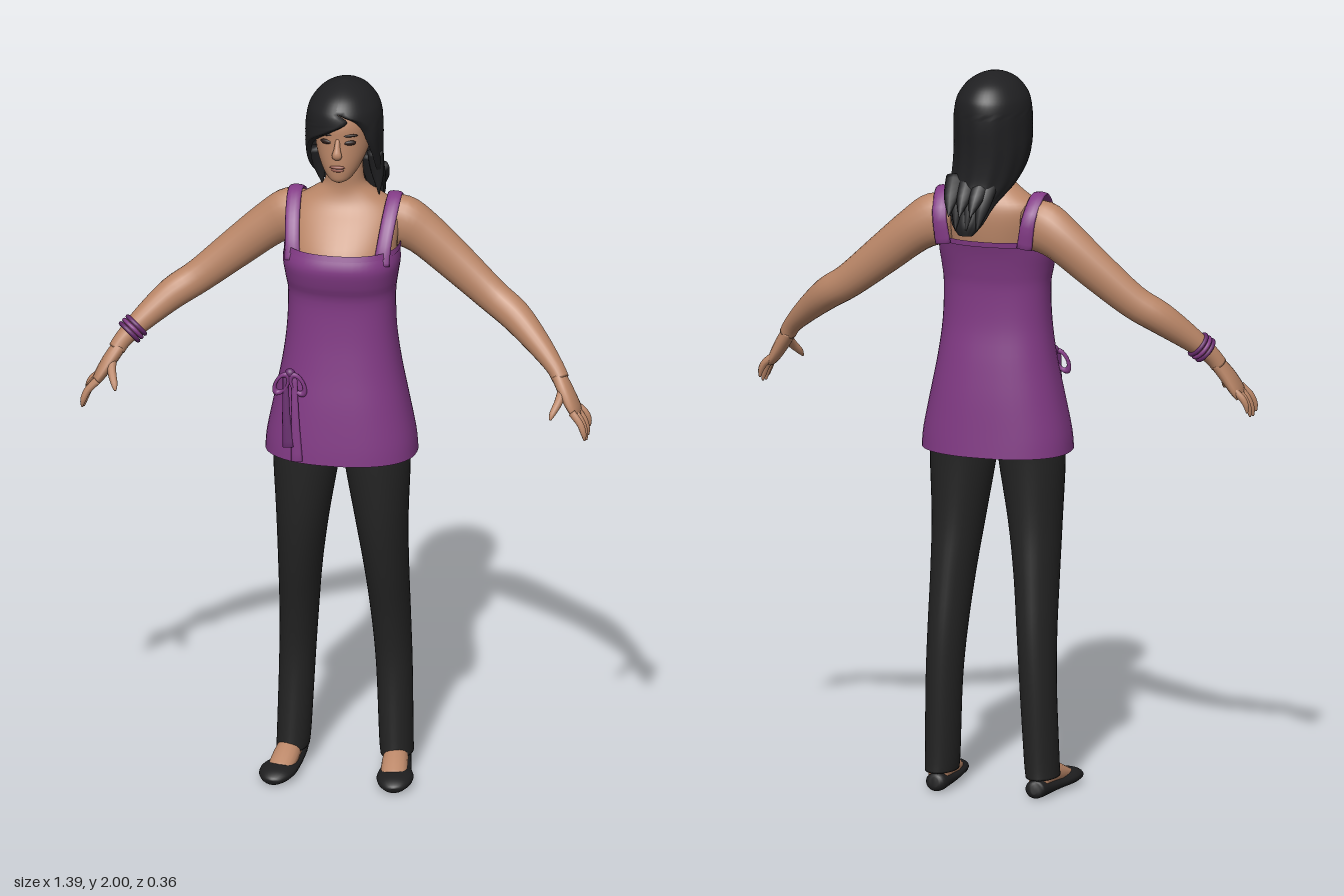
import * as THREE from 'three';

const mat = (name, color, side = THREE.FrontSide) => {
  const m = new THREE.MeshStandardMaterial({ color, side });
  m.name = name;
  return m;
};

// Catmull-Rom interpolation of every column of a small table
function smooth(rows, n = 4) {
  const out = [], at = i => rows[Math.max(0, Math.min(rows.length - 1, i))];
  for (let i = 0; i < rows.length - 1; i++) {
    for (let k = 0; k < n; k++) {
      const t = k / n, [a, b, c, d] = [at(i - 1), at(i), at(i + 1), at(i + 2)];
      out.push(b.map((v, j) => v + 0.5 * t * (c[j] - a[j] + t * (2 * a[j] - 5 * v + 4 * c[j] - d[j]
        + t * (3 * (v - c[j]) + d[j] - a[j])))));
    }
  }
  out.push(at(rows.length - 1));
  return out;
}

// Skin a list of rings; rings may be closed loops, ends may be capped
function skin(rings, closed = true, caps = true) {
  const n = rings[0].length, pos = [], idx = [];
  rings.forEach(r => r.forEach(p => pos.push(p.x, p.y, p.z)));
  const cols = closed ? n : n - 1;
  for (let i = 0; i < rings.length - 1; i++) {
    for (let j = 0; j < cols; j++) {
      const a = i * n + j, b = i * n + (j + 1) % n;
      idx.push(a, b, b + n, a, b + n, a + n);
    }
  }
  if (caps) [0, rings.length - 1].forEach((r, end) => {
    const c = rings[r].reduce((s, p) => s.add(p), new THREE.Vector3()).divideScalar(n);
    const ci = pos.length / 3;
    pos.push(c.x, c.y, c.z);
    for (let j = 0; j < n; j++) {
      const a = r * n + j, b = r * n + (j + 1) % n;
      if (end) idx.push(a, b, ci); else idx.push(b, a, ci);
    }
  });
  const g = new THREE.BufferGeometry();
  g.setAttribute('position', new THREE.Float32BufferAttribute(pos, 3));
  g.setIndex(idx);
  g.computeVertexNormals();
  return g;
}

const pw = (v, p) => Math.sign(v) * Math.abs(v) ** p;

// Upright loft, rows from low to high: [y, centre x, half width, front z, back z]
function loft(rows, { p = 1, seg = 36, caps = true } = {}) {
  return skin(smooth(rows).map(([y, cx, rx, zf, zb]) => Array.from({ length: seg }, (_, j) => {
    const a = j / seg * Math.PI * 2;
    return new THREE.Vector3(cx + rx * pw(Math.sin(a), p), y, (zf + zb) / 2 + (zf - zb) / 2 * pw(Math.cos(a), p));
  })), true, caps);
}

// Limb along a path: [x, y, z, radius towards ref, radius across]
function limb(rows, ref = [0, 0, 1], seg = 16, n = 4) {
  const pts = smooth(rows, n), v = r => new THREE.Vector3(r[0], r[1], r[2]);
  return skin(pts.map((r, i) => {
    const t = v(pts[Math.min(i + 1, pts.length - 1)]).sub(v(pts[Math.max(i - 1, 0)])).normalize();
    const N = new THREE.Vector3(...ref).addScaledVector(t, -t.dot(new THREE.Vector3(...ref))).normalize();
    const B = t.clone().cross(N);
    return Array.from({ length: seg }, (_, j) => {
      const a = j / seg * Math.PI * 2;
      return v(r).addScaledVector(N, r[3] * Math.cos(a)).addScaledVector(B, r[4] * Math.sin(a));
    });
  }));
}

export function createModel() {
  const model = new THREE.Group();
  const flesh = mat('skin', 0xbb8768), purple = mat('purple cloth', 0x823a85, THREE.DoubleSide);
  const trim = mat('dark purple trim', 0x642a6a), black = mat('black cloth', 0x242424);
  const hairMat = mat('black hair', 0x202022, THREE.DoubleSide), shoeMat = mat('shoe black', 0x1e1e1f);
  const lipMat = mat('lip', 0x965a4c), eyeMat = mat('dark eye', 0x2a1c18);
  const add = (name, geo, m) => {
    const mesh = new THREE.Mesh(geo, m);
    mesh.name = name;
    model.add(mesh);
    return mesh;
  };
  const blob = (name, m, [x, y, z], [sx, sy, sz]) => {
    const b = add(name, new THREE.SphereGeometry(1, 16, 12), m);
    b.position.set(x, y, z);
    b.scale.set(sx, sy, sz);
    return b;
  };

  // Chest, shoulders and neck
  add('upperBody', loft([
    [1.42, 0, 0.13, 0.11, -0.07], [1.50, 0, 0.148, 0.14, -0.09], [1.54, 0, 0.148, 0.132, -0.10],
    [1.60, 0, 0.15, 0.085, -0.105], [1.64, 0, 0.137, 0.05, -0.10], [1.67, 0, 0.095, 0.035, -0.085],
    [1.70, 0, 0.058, 0.03, -0.065], [1.74, 0, 0.05, 0.032, -0.06], [1.79, 0, 0.05, 0.03, -0.06]]), flesh);

  // Head and face
  add('head', loft([
    [1.736, 0, 0.012, 0.088, 0.06], [1.745, 0, 0.03, 0.098, 0.03], [1.765, 0, 0.047, 0.102, -0.01],
    [1.79, 0, 0.06, 0.103, -0.04], [1.82, 0, 0.071, 0.102, -0.07], [1.86, 0, 0.077, 0.1, -0.09],
    [1.90, 0, 0.078, 0.099, -0.1], [1.94, 0, 0.068, 0.08, -0.09], [1.97, 0, 0.03, 0.03, -0.05]]), flesh);
  add('nose', limb([[0, 1.865, 0.095, 0.006, 0.006], [0, 1.84, 0.104, 0.009, 0.009],
    [0, 1.822, 0.109, 0.011, 0.014], [0, 1.812, 0.102, 0.006, 0.01]], [0, 0, 1], 12), flesh);
  blob('upperLip', lipMat, [0, 1.786, 0.102], [0.021, 0.005, 0.006]);
  blob('lowerLip', lipMat, [0, 1.778, 0.101], [0.018, 0.006, 0.006]);
  for (const s of [-1, 1]) {
    blob('eye', eyeMat, [s * 0.033, 1.855, 0.0895], [0.017, 0.007, 0.006]).rotation.y = s * 0.35;
    blob('eyebrow', eyeMat, [s * 0.034, 1.876, 0.0895], [0.021, 0.004, 0.005]).rotation.y = s * 0.35;
  }

  // Hair shell, open at the face: [y, centre x, centre z, half width, half depth, left opening, right opening]
  const hairRows = smooth([
    [1.57, 0.035, -0.15, 0.02, 0.012, 1.6, 1.6], [1.60, 0.035, -0.132, 0.045, 0.03, 1.6, 1.6],
    [1.65, 0.03, -0.098, 0.066, 0.05, 1.55, 1.6], [1.70, 0.015, -0.05, 0.09, 0.085, 1.4, 1.5],
    [1.75, 0.005, -0.025, 0.1, 0.108, 1.25, 1.3], [1.80, 0, -0.015, 0.104, 0.12, 1.1, 1.15],
    [1.85, 0, -0.012, 0.105, 0.127, 0.9, 0.75], [1.885, 0, -0.012, 0.104, 0.128, 0.75, 0.2],
    [1.915, 0, -0.012, 0.1, 0.126, 0.5, -0.3], [1.94, 0, -0.012, 0.091, 0.118, 0, 0],
    [1.97, 0, -0.012, 0.068, 0.092, 0, 0], [1.99, 0, -0.012, 0.036, 0.05, 0, 0], [2, 0, -0.012, 0.001, 0.001, 0, 0]]);
  add('hair', skin(hairRows.map(([y, cx, cz, rx, rz, l, r]) => Array.from({ length: 49 }, (_, j) => {
    const a = l + (Math.PI * 2 - r - l) * j / 48;
    const f = (j === 0 || j === 48) && y < 1.935 ? 0.9 : 1;
    const wave = 1 + 0.012 * Math.sin(a * 13) * (y < 1.9 ? 1 : 0);
    return new THREE.Vector3(cx + rx * f * wave * Math.sin(a), y, cz + rz * f * wave * Math.cos(a));
  })), false, false), hairMat);
  // Loose pointed locks at the nape and beside the neck
  const lock = (x0, y0, z0, x1, y1, z1, w) => add('hairLock', limb([[x0, y0, z0, w * 0.6, w],
    [(x0 + x1) / 2, (y0 + y1) / 2, (z0 + z1) / 2 - 0.006, w * 0.5, w * 0.8], [x1, y1, z1, 0.001, 0.001]], [0, 0, 1], 8), hairMat);
  for (let i = 0; i < 6; i++) {
    const u = i / 5;
    lock(-0.02 + u * 0.1, 1.72, -0.1, 0.0 + u * 0.075, 1.585 + 0.04 * (i % 2), -0.165 - 0.012 * (i % 2), 0.026);
  }
  lock(0.085, 1.8, 0.0, 0.095, 1.67, -0.01, 0.022);
  lock(0.07, 1.78, -0.03, 0.07, 1.66, -0.04, 0.03);
  lock(-0.08, 1.8, 0.0, -0.06, 1.69, -0.01, 0.022);

  // Tunic: skirt, waist and bodice
  add('tunic', loft([
    [0.945, 0, 0.207, 0.18, -0.12], [1.0, 0, 0.202, 0.176, -0.116], [1.1, 0, 0.182, 0.165, -0.108],
    [1.2, 0, 0.162, 0.15, -0.096], [1.3, 0, 0.149, 0.138, -0.082], [1.4, 0, 0.146, 0.134, -0.08],
    [1.45, 0, 0.152, 0.15, -0.086], [1.5, 0, 0.159, 0.16, -0.096], [1.54, 0, 0.154, 0.146, -0.107]],
  { p: 0.86, seg: 48, caps: false }), purple);
  add('neckTrim', loft([[1.53, 0, 0.158, 0.153, -0.109], [1.545, 0, 0.156, 0.147, -0.111]],
    { p: 0.86, seg: 48, caps: false }), purple);
  for (const s of [-1, 1]) {
    add('shoulderStrap', limb([
      [s * 0.122, 1.51, 0.108, 0.022, 0.006], [s * 0.126, 1.56, 0.09, 0.02, 0.006], [s * 0.132, 1.62, 0.05, 0.02, 0.006],
      [s * 0.136, 1.664, -0.005, 0.02, 0.006], [s * 0.134, 1.662, -0.05, 0.02, 0.006],
      [s * 0.126, 1.61, -0.098, 0.02, 0.006], [s * 0.115, 1.53, -0.098, 0.022, 0.006]], [1, 0, 0], 10), purple);
  }

  // Tied bow on the right hip
  for (const s of [-1, 1]) {
    const loop = add('bowLoop', new THREE.TorusGeometry(0.026, 0.008, 8, 18), purple);
    loop.position.set(-0.122 + s * 0.022, 1.165, 0.15);
    loop.rotation.z = s * 0.5;
    loop.scale.set(0.6, 1.15, 1);
    const x = -0.122 + s * 0.012;
    add('bowTail', limb([[x, 1.19, 0.148, 0.008, 0.004], [x + 0.005, 1.08, 0.163, 0.011, 0.004],
      [x + 0.012, s > 0 ? 0.95 : 0.99, 0.172, 0.016, 0.004]], [1, 0, 0], 8), s > 0 ? purple : trim);
  }
  blob('bowKnot', trim, [-0.122, 1.195, 0.146], [0.014, 0.014, 0.012]);

  // Trousers
  add('trouserHips', loft([[0.935, 0, 0.12, 0.10, -0.05], [0.96, 0, 0.175, 0.13, -0.08], [1.1, 0, 0.165, 0.13, -0.08]]), black);
  for (const s of [-1, 1]) {
    add('trouserLeg', loft([
      [0.05, s * 0.143, 0.044, 0.052, -0.088], [0.10, s * 0.14, 0.046, 0.046, -0.088],
      [0.3, s * 0.133, 0.049, 0.035, -0.095], [0.45, s * 0.126, 0.053, 0.056, -0.094],
      [0.6, s * 0.118, 0.06, 0.092, -0.082], [0.75, s * 0.108, 0.072, 0.118, -0.07],
      [0.92, s * 0.097, 0.09, 0.13, -0.072], [1.0, s * 0.093, 0.088, 0.13, -0.08]]), black);

    // Foot and flat shoe
    add('foot', limb([[s * 0.142, 0.04, -0.06, 0.026, 0.03], [s * 0.145, 0.05, 0, 0.032, 0.036],
      [s * 0.15, 0.04, 0.06, 0.036, 0.03], [s * 0.158, 0.025, 0.12, 0.034, 0.018]], [1, 0, 0]), flesh);
    add('shoe', limb([[s * 0.14, 0.026, -0.09, 0.008, 0.012], [s * 0.14, 0.025, -0.08, 0.028, 0.025],
      [s * 0.144, 0.022, -0.03, 0.036, 0.022], [s * 0.15, 0.019, 0.04, 0.042, 0.019],
      [s * 0.159, 0.022, 0.10, 0.05, 0.022], [s * 0.164, 0.02, 0.145, 0.044, 0.02],
      [s * 0.167, 0.014, 0.172, 0.026, 0.013], [s * 0.168, 0.012, 0.18, 0.008, 0.006]], [1, 0, 0], 20), shoeMat);

    // Arm, from the shoulder to the wrist
    add('arm', limb([[s * 0.10, 1.59, -0.045, 0.045, 0.06], [s * 0.15, 1.585, -0.046, 0.054, 0.072],
      [s * 0.21, 1.55, -0.05, 0.052, 0.062], [s * 0.3, 1.475, -0.045, 0.045, 0.055],
      [s * 0.4, 1.392, -0.03, 0.04, 0.047], [s * 0.47, 1.345, -0.006, 0.042, 0.044],
      [s * 0.54, 1.285, 0.034, 0.034, 0.034], [s * 0.59, 1.235, 0.066, 0.026, 0.025],
      [s * 0.61, 1.205, 0.08, 0.025, 0.023]], [0, 0, 1], 20), flesh);

    // Hand with four fingers and a thumb
    add('palm', limb([[s * 0.602, 1.215, 0.075, 0.024, 0.02], [s * 0.628, 1.175, 0.095, 0.036, 0.02],
      [s * 0.652, 1.135, 0.108, 0.042, 0.016], [s * 0.662, 1.115, 0.112, 0.036, 0.01]]), flesh);
    for (let i = 0; i < 4; i++) {
      const z = 0.08 + i * 0.022, d = [0.02, 0.004, 0, 0.008][i];
      add('finger', limb([[s * 0.652, 1.135, z, 0.01, 0.011], [s * 0.676, 1.105 + d / 2, z + 0.003 * i, 0.01, 0.01],
        [s * 0.687, 1.075 + d, z + 0.005 * i, 0.008, 0.008], [s * 0.69, 1.055 + d, z + 0.005 * i, 0.003, 0.003]], [0, 0, 1], 8), flesh);
    }
    add('thumb', limb([[s * 0.62, 1.185, 0.1, 0.014, 0.016], [s * 0.614, 1.16, 0.132, 0.012, 0.013],
      [s * 0.602, 1.135, 0.16, 0.009, 0.009], [s * 0.597, 1.12, 0.172, 0.003, 0.003]], [1, 0, 0], 10), flesh);
  }

  // Bracelets on the right wrist
  const along = new THREE.Vector3(-0.05, -0.05, 0.032).normalize();
  for (let i = 0; i < 3; i++) {
    const band = add('bracelet', new THREE.TorusGeometry(0.033, 0.006, 8, 24), i === 1 ? purple : trim);
    band.position.set(-0.57, 1.256, 0.053).addScaledVector(along, (i - 1) * 0.013);
    band.quaternion.setFromUnitVectors(new THREE.Vector3(0, 0, 1), along);
  }
  return model;
}
